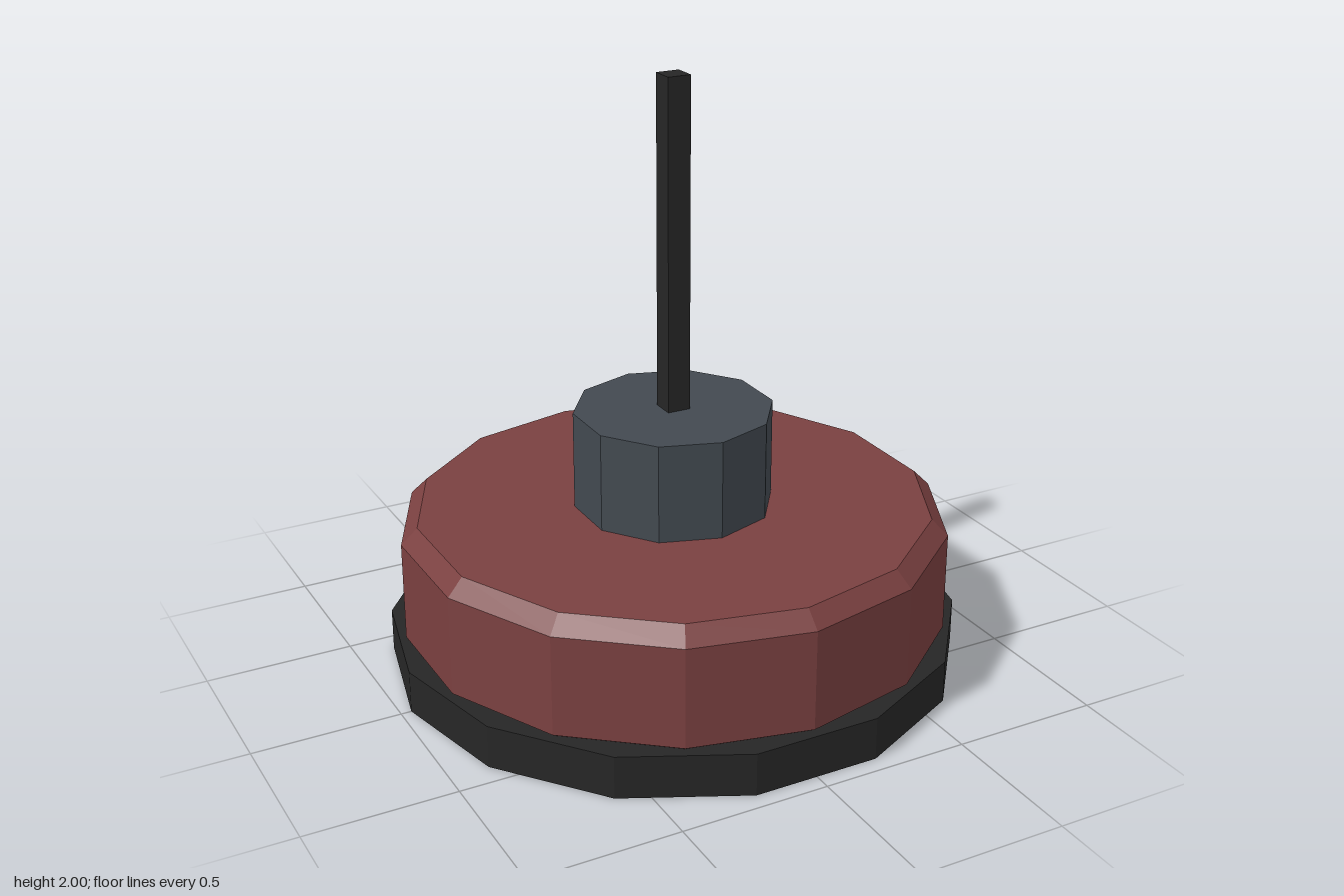
import * as THREE from 'three';

const SIDES = 14;

export function createModel() {
  const mat = (name, color) => {
    const m = new THREE.MeshStandardMaterial({ color });
    m.name = name;
    return m;
  };
  const black = mat('black rubber', 0x262626);
  const red = mat('dull red', 0x7a4040);
  const steel = mat('slate grey', 0x424950);
  const pale = mat('pale grey', 0xcac8bc);

  const model = new THREE.Group();
  const add = (name, geometry, material, y = 0) => {
    // faceted look: split the faces and give each its own normal
    const g = geometry.index ? geometry.toNonIndexed() : geometry;
    g.computeVertexNormals();
    const mesh = new THREE.Mesh(g, material);
    mesh.name = name;
    mesh.position.y = y;
    model.add(mesh);
  };
  // profile of [radius, y] pairs, from the bottom up
  const turned = (profile, start = 0) =>
    new THREE.LatheGeometry(profile.map(([r, y]) => new THREE.Vector2(r, y)), SIDES, start);

  // base ring with a shallow recess underneath
  const turn = Math.PI / SIDES;
  add('baseRing', turned([[0.74, 0.015], [0.74, 0], [0.965, 0], [0.965, 0.145], [0, 0.145]], turn), black);

  // pad set in the recess, facing down
  add('bottomPad', new THREE.CylinderGeometry(0.74, 0.74, 0.008, SIDES, 1, false, turn), pale, 0.016);

  // main body with bevelled edges
  add('body', turned([[0, 0.146], [0.905, 0.146], [0.92, 0.156], [0.92, 0.495], [0.865, 0.55], [0, 0.55]]), red);

  // hub and upright rod
  add('hub', new THREE.CylinderGeometry(0.335, 0.335, 0.335, 10), steel, 0.7175);
  add('rod', new THREE.BoxGeometry(0.08, 1.115, 0.08), black, 1.4425);

  return model;
}
